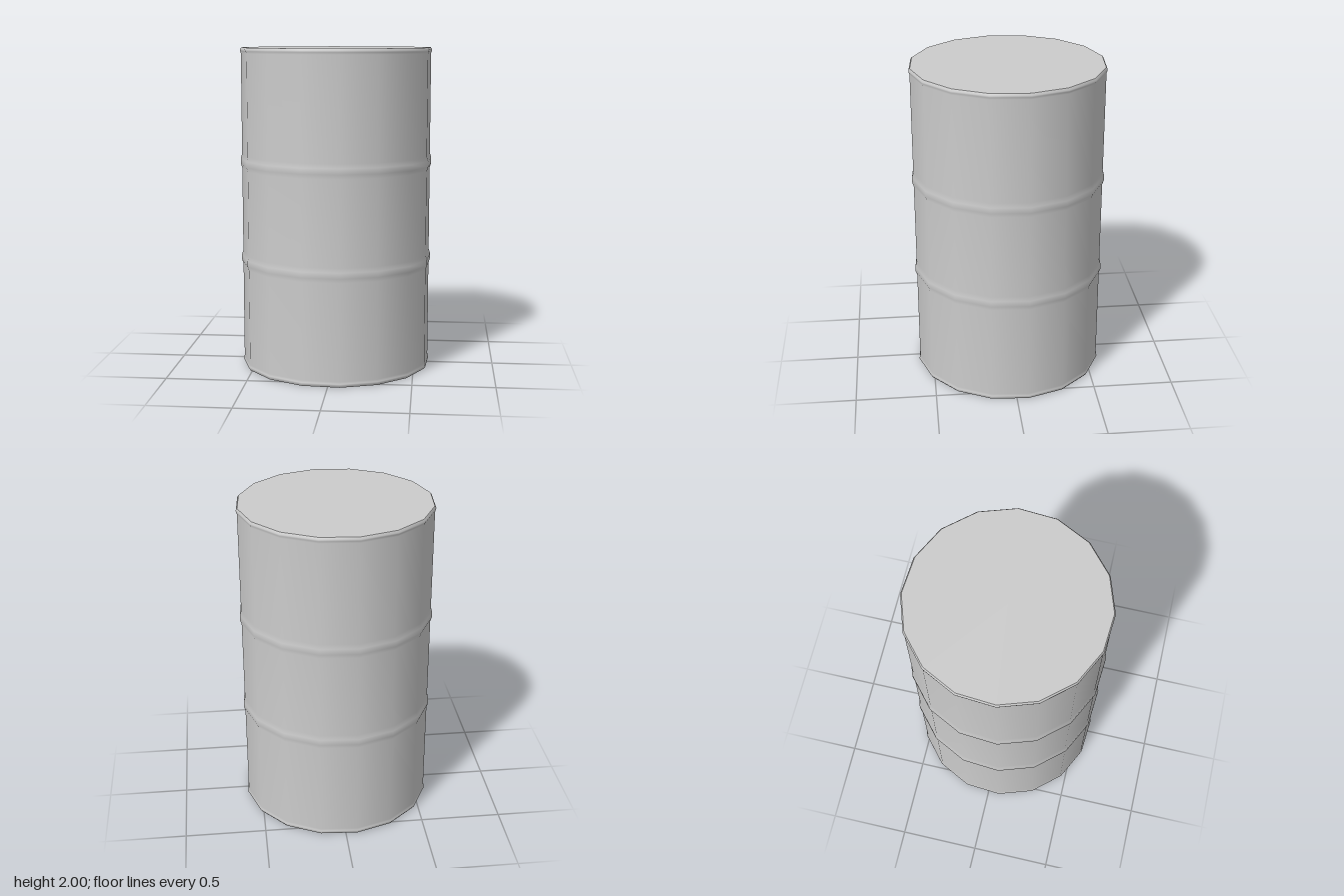
import * as THREE from 'three';

const SIDES = 16;
const START = THREE.MathUtils.degToRad(7.1);

export function createModel() {
  const group = new THREE.Group();
  group.name = 'barrel';
  const material = new THREE.MeshStandardMaterial({ color: 0xcccccc });

  // Turn a list of [radius, height] pairs around the upright axis
  const turn = (name, profile) => {
    const points = profile.map(([r, y]) => new THREE.Vector2(r, y));
    const mesh = new THREE.Mesh(new THREE.LatheGeometry(points, SIDES, START), material);
    mesh.name = name;
    group.add(mesh);
  };

  // One raised hoop pressed into the wall
  const hoop = (y) => [[0.591, y - 0.045], [0.6, y - 0.018], [0.6, y + 0.018], [0.591, y + 0.045]];

  // Wall with beaded rims and two hoops
  turn('wall', [
    [0.589, 0], [0.597, 0.012], [0.596, 0.022], [0.591, 0.035],
    ...hoop(0.68),
    ...hoop(1.295),
    [0.591, 1.965], [0.596, 1.978], [0.597, 1.988], [0.589, 2],
  ]);

  // Flat ends
  turn('lid', [[0.589, 2], [0, 2]]);
  turn('base', [[0, 0], [0.589, 0]]);

  return group;
}
